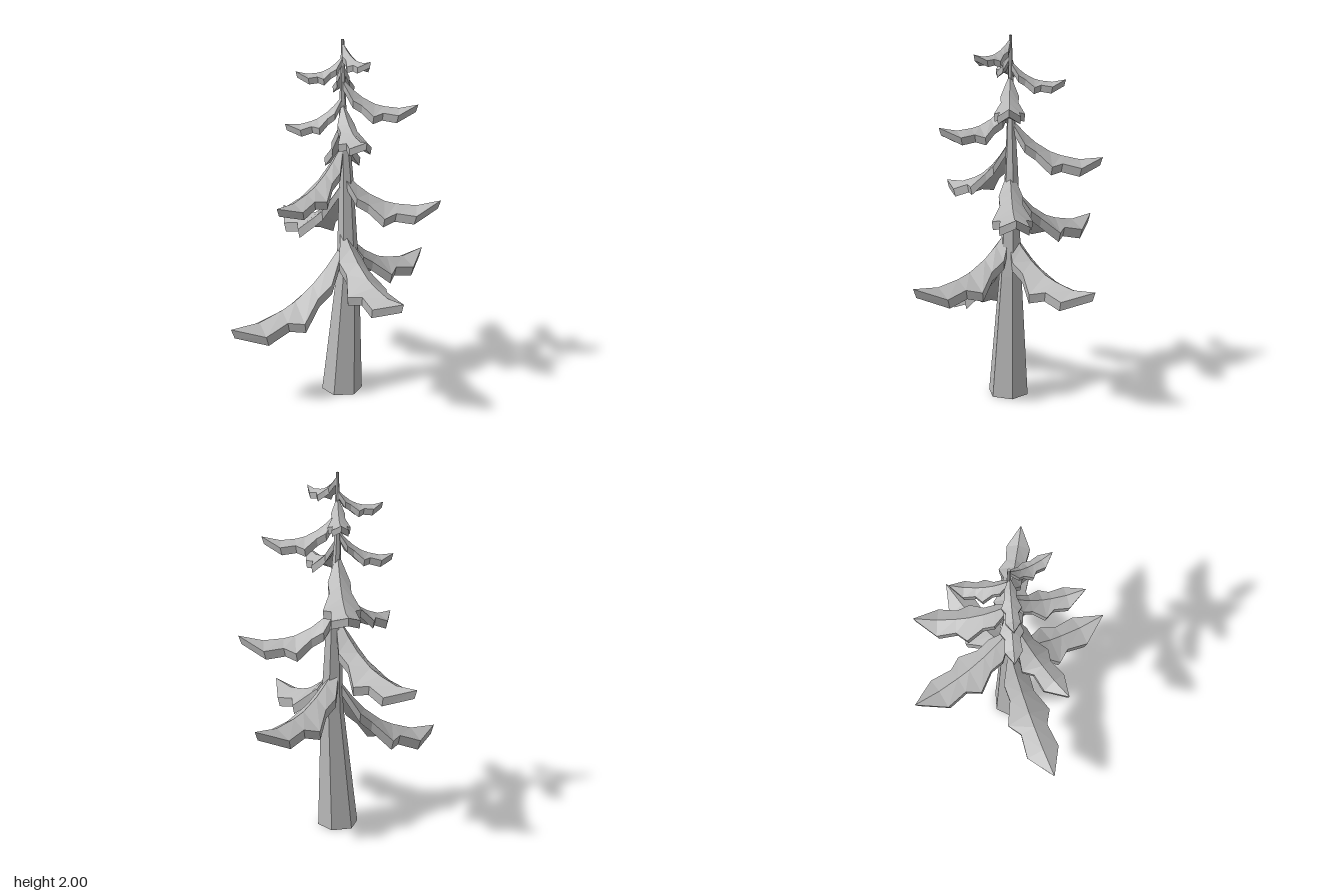
import * as THREE from 'three';

const bark = new THREE.MeshStandardMaterial({ color: 0xb8b8b8, flatShading: true });
bark.name = 'paleGrey';

// Trunk rings: height, centre x, centre z, radius
const RINGS = [
  [0, 0.045, -0.007, 0.115],
  [0.7, 0.077, -0.012, 0.064],
  [1.28, 0.066, -0.02, 0.037],
  [1.6, 0.047, -0.02, 0.02],
  [2, 0.045, -0.017, 0.008],
];

// Branch stations, in units of length: distance, half width, edge drop, ridge sag
const STATIONS = [
  [0, 0.02, 0.03, 0],
  [0.15, 0.12, 0.115, 0.1],
  [0.27, 0.115, 0.09, 0.155],
  [0.43, 0.2, 0.135, 0.185],
  [0.55, 0.125, 0.07, 0.175],
  [0.75, 0.15, 0.075, 0.13],
  [1, 0, 0, 0],
];

// Branches: tip x, tip y, tip z, root y
const BRANCHES = [
  [-0.585, 0.47, 0.2, 0.87],
  [0.3, 0.715, 0.55, 0.97],
  [0.56, 0.72, -0.36, 0.96],
  [-0.25, 0.95, -0.555, 1.22],
  [0.58, 1.125, 0.06, 1.29],
  [-0.33, 1.165, 0.275, 1.44],
  [0.1, 1.34, -0.52, 1.57],
  [0.125, 1.53, 0.38, 1.66],
  [-0.265, 1.555, -0.01, 1.7],
  [0.44, 1.66, 0.07, 1.79],
  [0.09, 1.765, -0.31, 1.87],
  [-0.205, 1.835, -0.01, 1.91],
  [0.165, 1.91, 0.2, 1.98],
];
const AXIS = { x: 0.045, z: -0.015 };

function makeTrunk() {
  const n = RINGS.length - 1;
  const geo = new THREE.CylinderGeometry(1, 1, 1, 6, n, false, Math.PI / 2);
  const p = geo.attributes.position;
  for (let i = 0; i < p.count; i++) {
    const [y, cx, cz, r] = RINGS[Math.round((p.getY(i) + 0.5) * n)];
    p.setXYZ(i, cx + p.getX(i) * r, y, cz + p.getZ(i) * r);
  }
  geo.computeVertexNormals();
  const mesh = new THREE.Mesh(geo, bark);
  mesh.name = 'trunk';
  return mesh;
}

// Folded, jagged slab running along +z, with a ridge in the middle
function branchGeometry(length, fall) {
  const pos = [];
  const index = [];
  const thick = 0.02 + 0.05 * length;
  for (const [t, w, drop, sag] of STATIONS) {
    for (const under of [0, 1]) {
      for (const side of [-1, 0, 1]) {
        const y = -fall * t - (sag + Math.abs(side) * drop) * length - under * thick;
        const inset = under ? 0.95 : 1;
        pos.push(side * w * length * inset, y, t * length * (under ? 0.97 : 1));
      }
    }
  }
  const quad = (a, b, c, d) => index.push(a, b, c, a, c, d);
  for (let i = 0; i < STATIONS.length - 1; i++) {
    const a = i * 6;
    const b = a + 6;
    for (const j of [0, 1]) {
      quad(a + j, b + j, b + j + 1, a + j + 1); // upper face
      quad(a + j + 4, b + j + 4, b + j + 3, a + j + 3); // underside
    }
    quad(a + 2, b + 2, b + 5, a + 5); // rims
    quad(a + 3, b + 3, b, a);
  }
  quad(0, 1, 4, 3); // root end
  quad(1, 2, 5, 4);
  const geo = new THREE.BufferGeometry();
  geo.setAttribute('position', new THREE.Float32BufferAttribute(pos, 3));
  geo.setIndex(index);
  const flat = geo.toNonIndexed();
  flat.computeVertexNormals();
  return flat;
}

export function createModel() {
  const tree = new THREE.Group();
  tree.name = 'tree';
  tree.add(makeTrunk());
  BRANCHES.forEach(([x, y, z, rootY], i) => {
    const dx = x - AXIS.x;
    const dz = z - AXIS.z;
    const mesh = new THREE.Mesh(branchGeometry(Math.hypot(dx, dz), rootY - y), bark);
    mesh.name = `branch${i + 1}`;
    mesh.position.set(AXIS.x, rootY, AXIS.z);
    mesh.rotation.y = Math.atan2(dx, dz);
    tree.add(mesh);
  });
  return tree;
}
